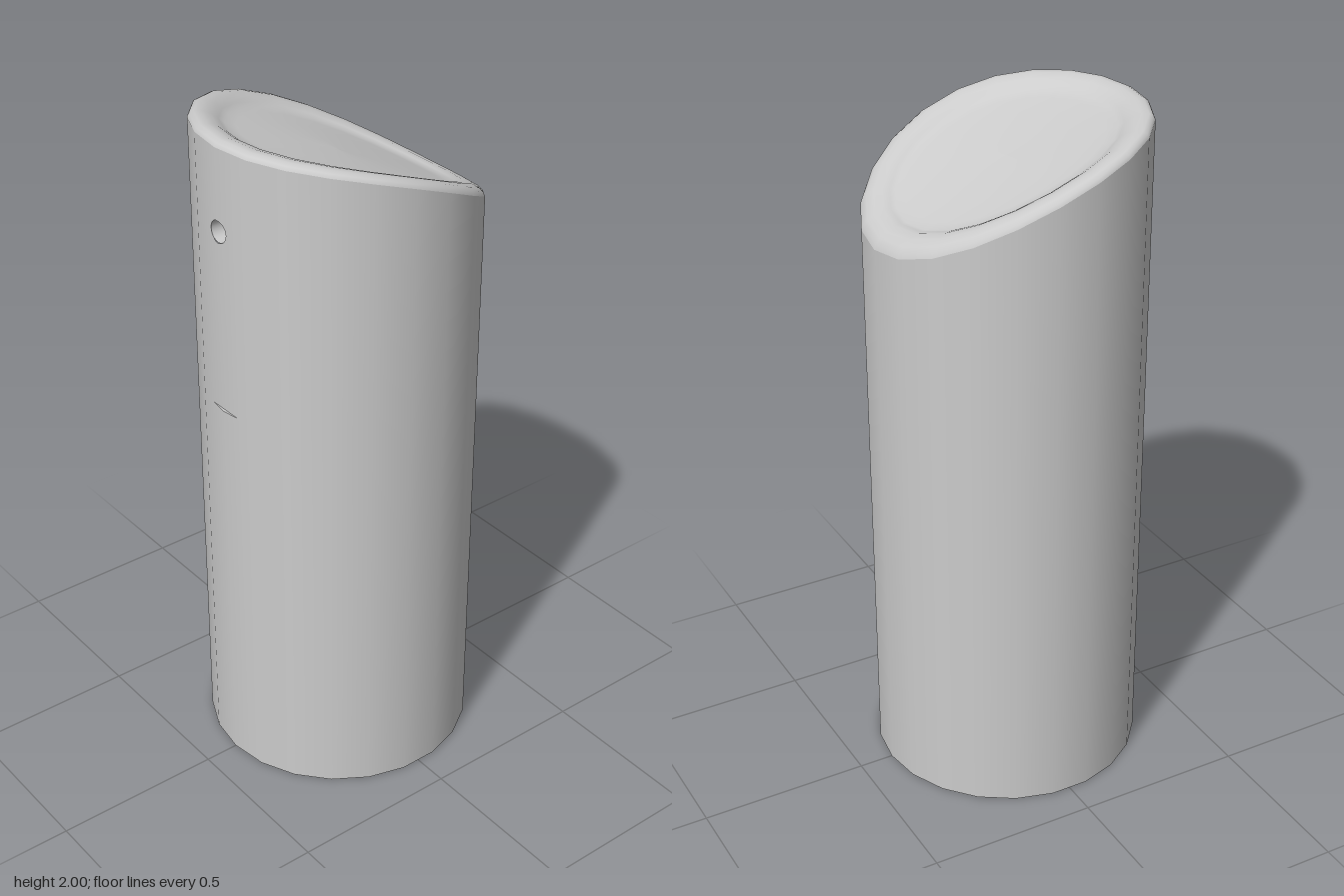
import * as THREE from 'three';

const SIDES = 22, R = 0.397, STEP = 1.2, HOLE_Y = 1.745, HOLE_R = 0.032;
const grey = new THREE.MeshStandardMaterial({ color: 0xcccccc });

// unit outline, with an extra point halfway along the two front edges
const corner = k => [Math.sin(k * 2 * Math.PI / SIDES), Math.cos(k * 2 * Math.PI / SIDES)];
const outline = [];
for (let k = 0; k < SIDES; k++) {
  outline.push(corner(k));
  if (k === 0 || k === SIDES - 1) {
    const a = corner(k), b = corner(k + 1);
    outline.push([(a[0] + b[0]) / 2, (a[1] + b[1]) / 2]);
  }
}
const N = outline.length;
const HALF = R * outline[1][0], FLAT_Z = R * outline[1][1];

// curved slope of the top, and height of the wall's upper edge
const slope = z => 1.913 + 0.386 * z - 0.402 * z * z;
const edgeY = z => slope(z) - 0.02;

// surface through rings of [radius, height function of z]
function loft(rings, skip = []) {
  const pos = [], index = [];
  for (const [r, height] of rings)
    for (const [x, z] of outline) pos.push(x * r, height(z * r), z * r);
  for (let i = 0; i < rings.length - 1; i++)
    for (let j = 0; j < N; j++) {
      if (skip.includes(j)) continue;
      const k = (j + 1) % N, a = i * N + j, b = i * N + k, c = a + N, d = b + N;
      if (rings[i][0] > 0) index.push(a, b, d);
      if (rings[i + 1][0] > 0) index.push(a, d, c);
      else if (rings[i][0] > 0) index.splice(-3, 3, a, b, c);
    }
  const g = new THREE.BufferGeometry();
  g.setAttribute('position', new THREE.Float32BufferAttribute(pos, 3));
  g.setIndex(index);
  g.computeVertexNormals();
  return g;
}

// smooth shading around the upright axis
function roundNormals(g) {
  const p = g.attributes.position, n = g.attributes.normal;
  for (let i = 0; i < p.count; i++) {
    const l = Math.hypot(p.getX(i), p.getZ(i));
    n.setXYZ(i, p.getX(i) / l, 0, p.getZ(i) / l);
  }
  return g;
}

// half of the shallow front flat, with half of the round hole cut out
function frontHalf(side) {
  const pts = [[0, STEP], [HALF, STEP], [HALF, edgeY(FLAT_Z)], [0, edgeY(R)]];
  for (let i = 0; i <= 12; i++) {
    const a = Math.PI / 2 - i * Math.PI / 12;
    pts.push([HOLE_R * Math.cos(a), HOLE_Y + HOLE_R * Math.sin(a)]);
  }
  const g = new THREE.ShapeGeometry(new THREE.Shape(pts.map(([x, y]) => new THREE.Vector2(side * x, y))));
  const p = g.attributes.position;
  for (let i = 0; i < p.count; i++) {
    const wall = R - (R - FLAT_Z) * Math.abs(p.getX(i)) / HALF;
    const cut = FLAT_Z + (R - FLAT_Z) * (p.getY(i) - STEP) / 0.55;
    p.setZ(i, Math.min(wall, cut));
  }
  return roundNormals(g);
}

export function createModel() {
  const model = new THREE.Group();
  const add = (name, geometry, material = grey) => {
    const m = new THREE.Mesh(geometry, material);
    m.name = name;
    model.add(m);
    return m;
  };
  const at = y => () => y;

  // outer wall, left open at the front for the flat
  add('lowerWall', roundNormals(loft([[R, at(0)], [R, at(STEP)]])));
  add('upperWall', roundNormals(loft([[R, at(STEP)], [R, edgeY]], [0, N - 1])));

  // front flat and the small ledge below it
  for (const side of [1, -1]) add(side > 0 ? 'leftFrontFlat' : 'rightFrontFlat', frontHalf(side));
  const ledge = new THREE.BufferGeometry().setFromPoints([
    new THREE.Vector3(-HALF, STEP, FLAT_Z),
    new THREE.Vector3(0, STEP, R),
    new THREE.Vector3(HALF, STEP, FLAT_Z),
  ]);
  ledge.computeVertexNormals();
  add('frontLedge', ledge);

  // round blind hole
  const bore = new THREE.CylinderGeometry(HOLE_R, HOLE_R, 0.05, 24, 1, true).rotateX(Math.PI / 2);
  add('holeWall', bore, new THREE.MeshStandardMaterial({ color: 0xcccccc, side: THREE.BackSide }))
    .position.set(0, HOLE_Y, 0.369);
  add('holeFloor', new THREE.CircleGeometry(HOLE_R, 24)).position.set(0, HOLE_Y, 0.345);

  // rounded rim running into the dished top: [radius, drop below the slope]
  const top = [[R, 0.02], [0.392, 0.009], [0.38, 0.002], [0.36, 0], [0.335, 0.006], [0.315, 0.018],
    [0.3, 0.028], [0.27, 0.033], [0.2, 0.039], [0.1, 0.044], [0, 0.045]];
  add('dishedTop', loft(top.map(([r, drop]) => [r, z => slope(z) - drop])));

  // recessed underside
  add('recessCeiling', loft([[0, at(0.13)], [0.355, at(0.13)]]));
  add('recessWall', loft([[0.355, at(0.13)], [0.355, at(0)]]));
  add('baseRing', loft([[0.355, at(0)], [R, at(0)]]));

  return model;
}
